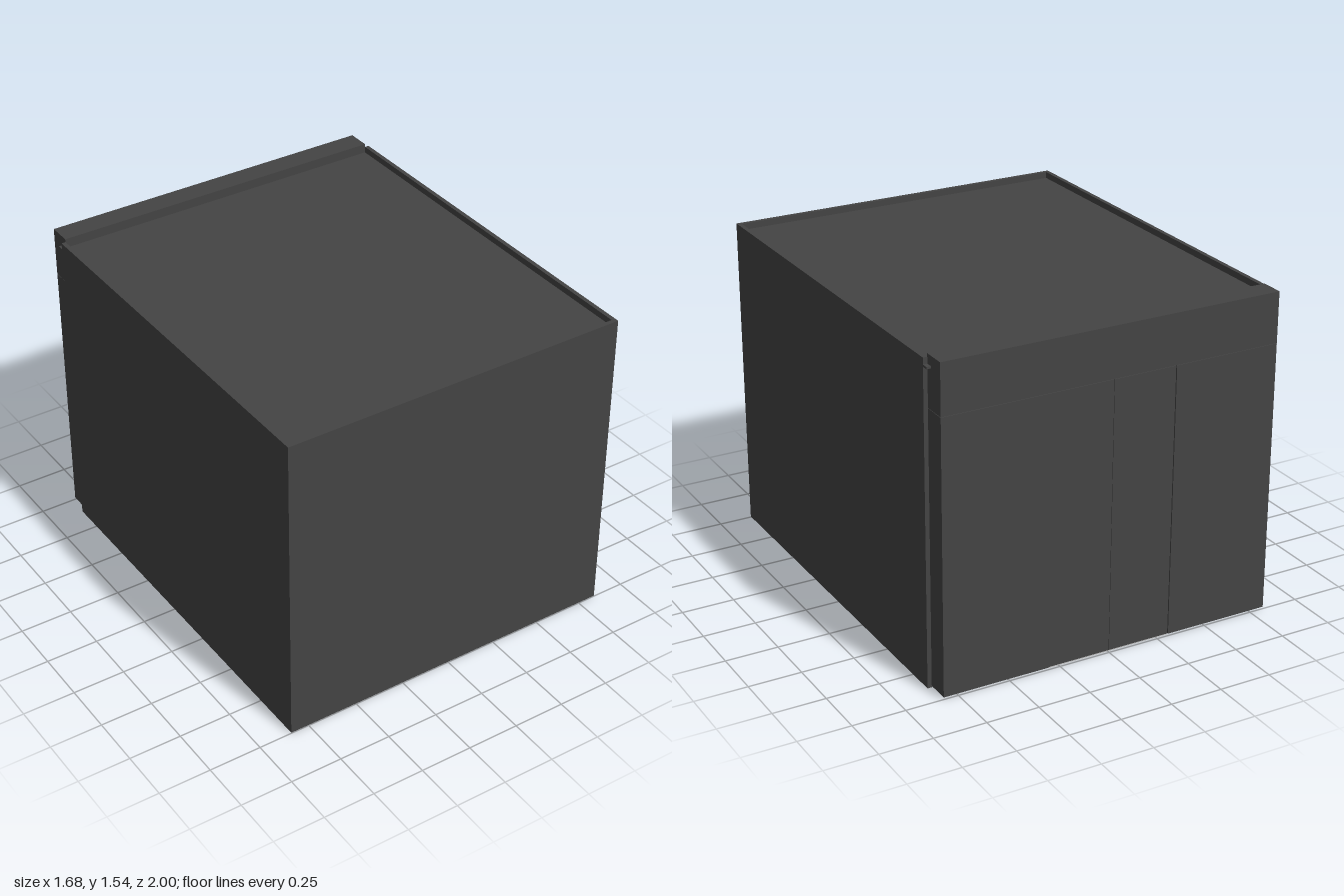
import * as THREE from 'three';

export function createModel() {
  const model = new THREE.Group();
  model.name = 'cabin';

  const steel = new THREE.MeshStandardMaterial({ color: 0x444444 });
  steel.name = 'dark steel';
  const pale = new THREE.MeshStandardMaterial({ color: 0xbfbfbf });
  pale.name = 'pale floor';

  // Box given by its limits along each axis
  function box(name, material, [x0, x1], [y0, y1], [z0, z1], parent = model) {
    const mesh = new THREE.Mesh(new THREE.BoxGeometry(x1 - x0, y1 - y0, z1 - z0), material);
    mesh.position.set((x0 + x1) / 2, (y0 + y1) / 2, (z0 + z1) / 2);
    mesh.name = name;
    parent.add(mesh);
    return mesh;
  }

  // Shell: front wall, side walls, sunken ceiling and floor base
  box('frontWall', steel, [-0.84, 0.84], [0.003, 1.525], [0.98, 1]);
  for (const [name, x0, x1] of [['rightWall', -0.84, -0.82], ['leftWall', 0.82, 0.84]]) {
    box(name, steel, [x0, x1], [0.003, 1.525], [-0.89, 0.98]);
  }
  box('ceiling', steel, [-0.82, 0.82], [1.47, 1.495], [-0.89, 0.98]);
  for (const s of [-1, 1]) {
    box('ceilingTab', steel, [s * 0.83 - 0.01, s * 0.83 + 0.01], [1.485, 1.495], [-0.92, -0.89]);
  }
  box('floorBase', steel, [-0.82, 0.82], [0.008, 0.03], [-0.89, 0.98]);

  // Back: header above two fixed panels and a pair of sliding doors
  box('doorHeader', steel, [-0.82, 0.82], [1.302, 1.54], [-1, -0.89]);
  for (const s of [-1, 1]) {
    const side = s < 0 ? 'right' : 'left';
    const span = (a, b) => (s < 0 ? [-b, -a] : [a, b]);
    box(side + 'BackPanel', steel, span(0.307, 0.82), [0.01, 1.3], [-1, -0.89]);
    box(side + 'Door', steel, span(0.001, 0.305), [0.01, 1.298], [-0.996, -0.89]);
  }

  // Door sill with pale slats beneath
  const sill = new THREE.Group();
  sill.name = 'doorSill';
  model.add(sill);
  for (const z of [-0.985, -0.94, -0.9]) {
    box('sillSlat', pale, [-0.305, 0.305], [0.003, 0.01], [z - 0.007, z + 0.007], sill);
  }

  // Floor panels arranged as a pinwheel around a square centre
  const floor = new THREE.Group();
  floor.name = 'floorPanels';
  model.add(floor);
  const panels = [
    [[-0.75, 0.29], [-0.85, -0.3]],
    [[0.31, 0.75], [-0.85, 0.31]],
    [[-0.29, 0.75], [0.33, 0.88]],
    [[-0.75, -0.31], [-0.28, 0.88]],
    [[-0.29, 0.29], [-0.28, 0.31]],
  ];
  for (const [x, z] of panels) box('floorPanel', pale, x, [0, 0.009], z, floor);

  return model;
}
